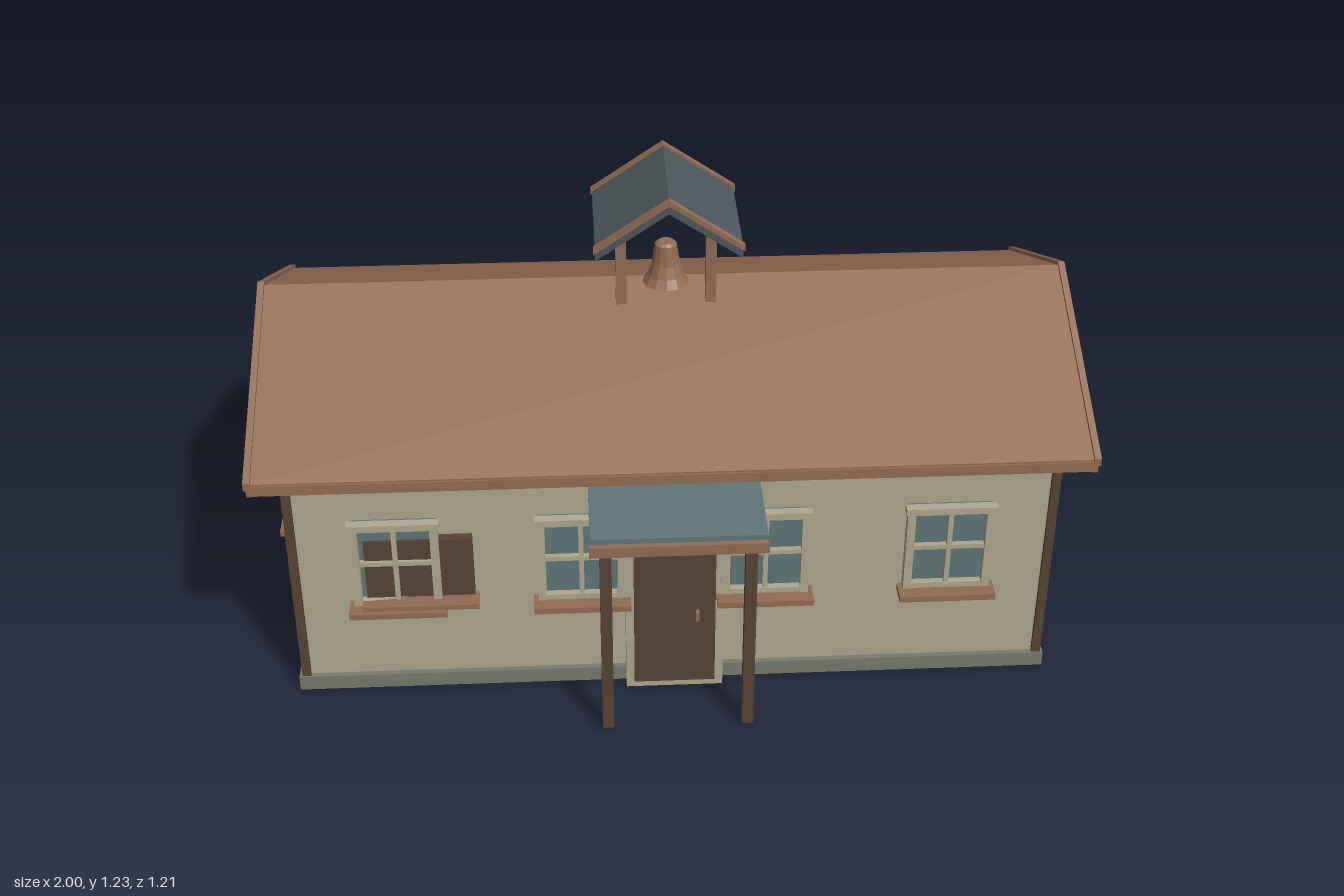
import * as THREE from 'three';

const mat = (name, color, side = THREE.FrontSide) => {
  const m = new THREE.MeshStandardMaterial({ color, side });
  m.name = name;
  return m;
};

export function createModel() {
  const cream = mat('cream', 0xb0a78c);
  const rust = mat('rust brown', 0x926b53);
  const bronze = mat('bronze', 0x926b53, THREE.DoubleSide);
  const dark = mat('dark brown', 0x574434);
  const teal = mat('teal', 0x5f7678);
  const slate = mat('slate', 0x4e585c);
  const stone = mat('stone', 0x777a6c);

  const model = new THREE.Group();
  model.name = 'schoolhouse';
  const ZC = -0.077; // centre line of the building

  const add = (name, geo, material, parent = model) => {
    const m = new THREE.Mesh(geo, material);
    m.name = name;
    parent.add(m);
    return m;
  };
  // Box given by its two extreme corners
  const box = (name, material, x0, x1, y0, y1, z0, z1, parent = model) => {
    const m = add(name, new THREE.BoxGeometry(x1 - x0, y1 - y0, z1 - z0), material, parent);
    m.position.set((x0 + x1) / 2, (y0 + y1) / 2, (z0 + z1) / 2);
    return m;
  };
  // Profile extruded along z, centred
  const prism = (points, length) => {
    const shape = new THREE.Shape(points.map(p => new THREE.Vector2(...p)));
    return new THREE.ExtrudeGeometry(shape, { depth: length, bevelEnabled: false })
      .translate(0, 0, -length / 2);
  };
  // Inverted V slab used for both roofs and their bargeboards
  const chevron = (half, eave, apex, thick, length) => prism([
    [-half, eave - thick], [0, apex - thick], [half, eave - thick],
    [half, eave], [0, apex], [-half, eave]], length);

  // Foundation, gabled walls and corner posts
  box('foundation', stone, -0.935, 0.935, 0.005, 0.045, -0.54, 0.388);
  const walls = add('walls', prism([
    [-0.451, 0.04], [0.451, 0.04], [0.451, 0.67], [0, 0.885], [-0.451, 0.67]], 1.84), cream);
  walls.rotation.y = Math.PI / 2;
  walls.position.z = ZC;
  for (const s of [-1, 1]) {
    const [x0, x1] = s > 0 ? [0.906, 0.928] : [-0.928, -0.906];
    box('cornerPost', dark, x0, x1, 0.045, 0.665, 0.36, 0.384);
    box('cornerPost', dark, x0, x1, 0.045, 0.665, -0.536, -0.512);
  }

  // Main roof with bargeboards and eave boards
  const roof = new THREE.Group();
  roof.name = 'mainRoof';
  roof.rotation.y = Math.PI / 2;
  roof.position.z = ZC;
  model.add(roof);
  add('roofSlab', chevron(0.516, 0.668, 0.906, 0.026, 1.97), rust, roof);
  for (const s of [-1, 1]) {
    add('bargeboard', chevron(0.522, 0.675, 0.915, 0.02, 0.016), rust, roof).position.z = s * 0.992;
    add('lowerBargeboard', chevron(0.522, 0.655, 0.895, 0.018, 0.012), rust, roof).position.z = s * 0.988;
    box('eaveBoard', rust, s * 0.516 - 0.005, s * 0.516 + 0.005, 0.638, 0.664, -0.99, 0.99, roof);
  }

  // Four-pane window; local z = 0 is the wall face, y = 0 the top of the sill
  const makeWindow = (w, h, sillW, x, y, z, turn) => {
    const g = new THREE.Group();
    g.name = 'window';
    g.position.set(x, y, z);
    g.rotation.y = turn;
    model.add(g);
    const a = w / 2, f = 0.02, b = 0.012, t = 0.038;
    box('glass', teal, -a + 0.008, a - 0.008, 0.004, h - 0.01, -0.005, 0.018, g);
    for (const s of [-1, 1]) {
      const c = s * (a - 0.004 - f / 2);
      box('frameSide', cream, c - f / 2, c + f / 2, 0, h - 0.015, 0.016, t, g);
    }
    box('frameBottom', cream, -a + 0.01, a - 0.01, 0, 0.014, 0.016, t - 0.002, g);
    box('frameTop', cream, -a, a, h - 0.018, h, 0.016, t + 0.002, g);
    box('mullion', cream, -b / 2, b / 2, 0, h - 0.01, 0.016, t - 0.004, g);
    box('crossbar', cream, -a + 0.01, a - 0.01, h / 2 - b / 2, h / 2 + b / 2, 0.016, t - 0.006, g);
    box('sill', rust, -sillW / 2, sillW / 2, -0.016, 0, 0.014, 0.072, g);
  };
  for (const x of [-0.67, -0.225, 0.22, 0.665])
    makeWindow(0.22, 0.238, 0.235, x, 0.284, 0.376, 0);
  for (const x of [-0.66, -0.33, 0.33, 0.65])
    makeWindow(0.255, 0.295, 0.28, x, 0.256, -0.53, Math.PI);
  makeWindow(0.255, 0.238, 0.268, 0.92, 0.284, ZC, Math.PI / 2);
  makeWindow(0.255, 0.29, 0.275, -0.925, 0.256, ZC, -Math.PI / 2);

  // Dark shutter panel set into the first front window, with its own ledge
  box('shutterPanel', dark, -0.745, -0.485, 0.292, 0.465, 0.376, 0.4);
  box('shutterLedge', rust, -0.755, -0.475, 0.285, 0.298, 0.385, 0.44);

  // Door
  box('doorFrame', cream, -0.12, 0.12, 0, 0.455, 0.37, 0.412);
  box('door', dark, -0.1, 0.1, 0.018, 0.44, 0.38, 0.416);
  box('doorHandle', rust, 0.051, 0.06, 0.216, 0.242, 0.416, 0.43);

  // Porch
  for (const s of [-1, 1])
    box('porchPost', dark, s * 0.17 - 0.014, s * 0.17 + 0.014, 0.008, 0.56, 0.545, 0.572);
  box('porchRoof', teal, -0.205, 0.205, 0.56, 0.592, 0.37, 0.59);
  box('porchTrim', rust, -0.207, 0.207, 0.55, 0.578, 0.588, 0.604);

  // Bell canopy
  const canopy = new THREE.Group();
  canopy.name = 'bellCanopy';
  canopy.position.z = -0.012;
  model.add(canopy);
  for (const s of [-1, 1]) {
    box('canopyPost', rust, s * 0.11 - 0.013, s * 0.11 + 0.013, 0.86, 1.112, -0.013, 0.013, canopy);
    add('canopyBargeboard', chevron(0.178, 1.104, 1.226, 0.014, 0.018), rust, canopy)
      .position.z = s * 0.154;
  }
  add('canopyRoof', chevron(0.174, 1.1, 1.219, 0.032, 0.306), slate, canopy);

  // Faceted bell
  const profile = [[0.057, 0.928], [0.044, 0.95], [0.034, 0.98], [0.027, 1.03], [0.02, 1.036], [0, 1.036]]
    .map(p => new THREE.Vector2(...p));
  const bellGeo = new THREE.LatheGeometry(profile, 12).toNonIndexed();
  bellGeo.computeVertexNormals();
  add('bell', bellGeo, bronze, canopy);

  return model;
}
